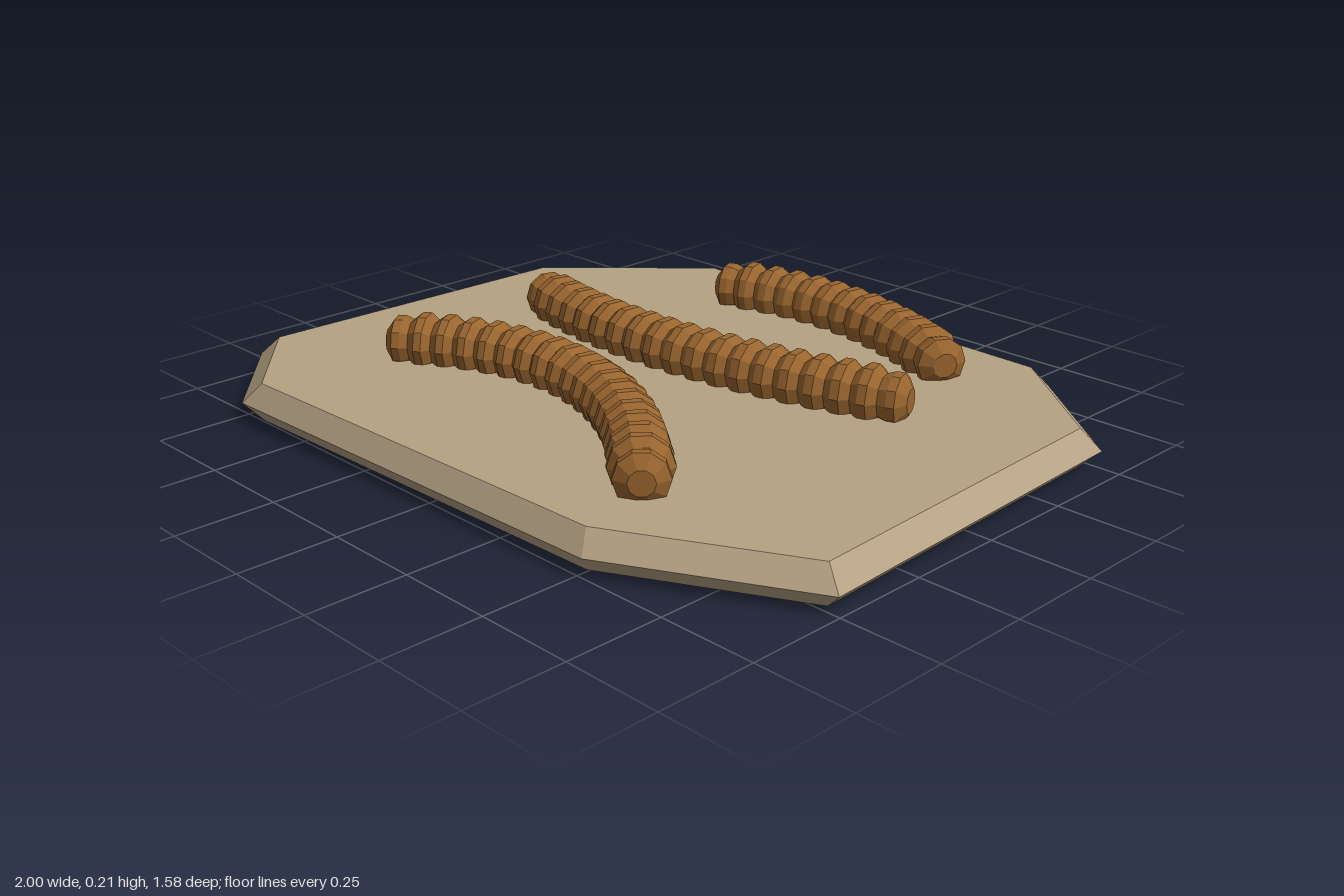
import * as THREE from 'three';

// Skin a closed surface over a list of rings (each a loop of Vector3)
function loft(rings) {
  const n = rings[0].length, index = [];
  for (let i = 0; i < rings.length - 1; i++) {
    for (let j = 0; j < n; j++) {
      const k = (j + 1) % n;
      const a = i * n + j, b = i * n + k, c = a + n, d = b + n;
      index.push(a, c, b, b, c, d);
    }
  }
  const geo = new THREE.BufferGeometry().setFromPoints(rings.flat());
  geo.setIndex(index);
  const flat = geo.toNonIndexed();
  flat.computeVertexNormals();
  return flat;
}

// Irregular octagonal slab with a bevelled rim
function makeSlab() {
  const outline = [
    [-0.6, -0.79], [0.62, -0.76], [0.955, -0.49], [1, 0.505],
    [0.52, 0.755], [-0.72, 0.785], [-1, 0.55], [-0.98, -0.41],
  ];
  const levels = [[0, 0], [0.95, 0], [1, 0.048], [0.95, 0.1], [0, 0.1]];
  return loft(levels.map(([s, y]) => outline.map(([x, z]) => new THREE.Vector3(x * s, y, z * s))));
}

// Ridged grub following a bent path, with tapered blunt ends
function makeGrub(start, bend, end) {
  const SIDES = 10, RIDGE = 0.077, VALLEY = 0.06, TIP = 0.032, Y = 0.14;
  const up = new THREE.Vector3(0, 1, 0);
  const path = new THREE.QuadraticBezierCurve3(
    ...[start, bend, end].map(([x, z]) => new THREE.Vector3(x, Y, z)));
  const segments = Math.round(path.getLength() / 0.066);

  // Profile as [position along path, radius]
  const profile = [[0, 0], [0, TIP]];
  for (let i = 0; i < segments; i++) {
    const taper = i === 0 || i === segments - 1 ? 0.85 : 1;
    if (i > 0) profile.push([i / segments, VALLEY * (i === 1 || i === segments - 1 ? 0.95 : 1)]);
    profile.push([(i + 0.35) / segments, RIDGE * taper], [(i + 0.68) / segments, RIDGE * taper]);
  }
  profile.push([1, TIP], [1, 0]);

  return loft(profile.map(([u, r]) => {
    const centre = path.getPointAt(u);
    const side = path.getTangentAt(u).cross(up).normalize();
    return Array.from({ length: SIDES }, (_, j) => {
      const a = (j / SIDES) * Math.PI * 2;
      return centre.clone().addScaledVector(side, Math.cos(a) * r).addScaledVector(up, Math.sin(a) * r);
    });
  }));
}

export function createModel() {
  const group = new THREE.Group();
  const slabMat = new THREE.MeshStandardMaterial({ color: 0xb5a283, flatShading: true });
  const grubMat = new THREE.MeshStandardMaterial({ color: 0x99652f, flatShading: true });
  const add = (name, geo, mat) => {
    const mesh = new THREE.Mesh(geo, mat);
    mesh.name = name;
    group.add(mesh);
  };

  add('slab', makeSlab(), slabMat);
  add('backGrub', makeGrub([-0.36, -0.555], [0.03, -0.73], [0.495, -0.485]), grubMat);
  add('middleGrub', makeGrub([-0.655, -0.16], [-0.11, 0.02], [0.585, -0.235]), grubMat);
  add('frontGrub', makeGrub([-0.635, 0.39], [-0.11, -0.03], [0.485, 0.55]), grubMat);
  return group;
}
